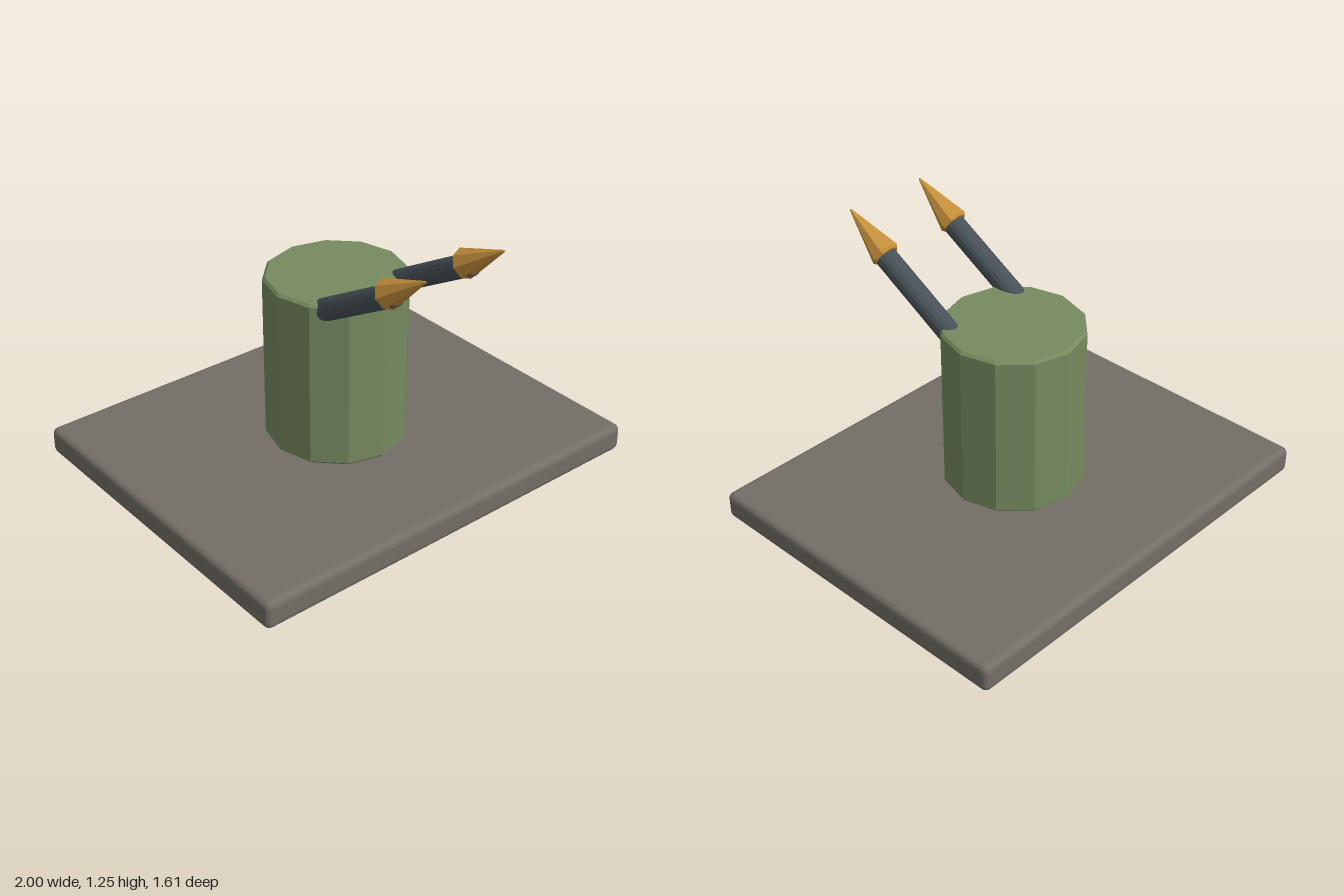
import * as THREE from 'three';
import { RoundedBoxGeometry } from 'three/addons/geometries/RoundedBoxGeometry.js';

const rad = THREE.MathUtils.degToRad;

function part(name, geometry, color, flatShading = true) {
  const mesh = new THREE.Mesh(geometry, new THREE.MeshStandardMaterial({ color, flatShading }));
  mesh.name = name;
  return mesh;
}

// Closed turned shape from [radius, height] pairs, bottom to top
function turned(points, sides) {
  return new THREE.LatheGeometry(points.map(([r, y]) => new THREE.Vector2(r, y)), sides);
}

// Solid cylinder standing on y = 0 with chamfered rims
function chamferedCylinder(radius, height, bevel, sides) {
  return turned([
    [0, 0], [radius - bevel, 0], [radius, bevel],
    [radius, height - bevel], [radius - bevel, height], [0, height],
  ], sides);
}

// Lean a part forward so its own axis rises at the given angle above +z
function aim(mesh, x, y, z, elevation) {
  mesh.position.set(x, y, z);
  mesh.rotation.x = rad(90 - elevation);
  return mesh;
}

export function createModel() {
  const model = new THREE.Group();
  model.name = 'launcher';

  // Ground slab with rounded edges
  const base = part('base', new RoundedBoxGeometry(2, 0.13, 1.61, 2, 0.03), 0x736e66);
  base.position.y = 0.065;
  model.add(base);

  // Twelve-sided drum
  const drum = part('drum', chamferedCylinder(0.32, 0.78, 0.012, 12), 0x768a5f);
  drum.position.y = 0.13;
  model.add(drum);

  // Two arms, each a rod with a pointed head tilted slightly steeper
  for (const [side, sign] of [['left', 1], ['right', -1]]) {
    const arm = new THREE.Group();
    arm.name = side + 'Arm';
    const x = 0.205 * sign;
    arm.add(aim(part('rod', chamferedCylinder(0.05, 0.54, 0.006, 16), 0x465056), x, 0.852, 0.14, 30));
    const head = turned([[0, -0.012], [0.058, -0.012], [0.067, 0], [0.005, 0.25], [0, 0.256]], 8);
    arm.add(aim(part('head', head, 0xc8923c), x, 1.108, 0.566, 33));
    model.add(arm);
  }
  return model;
}
